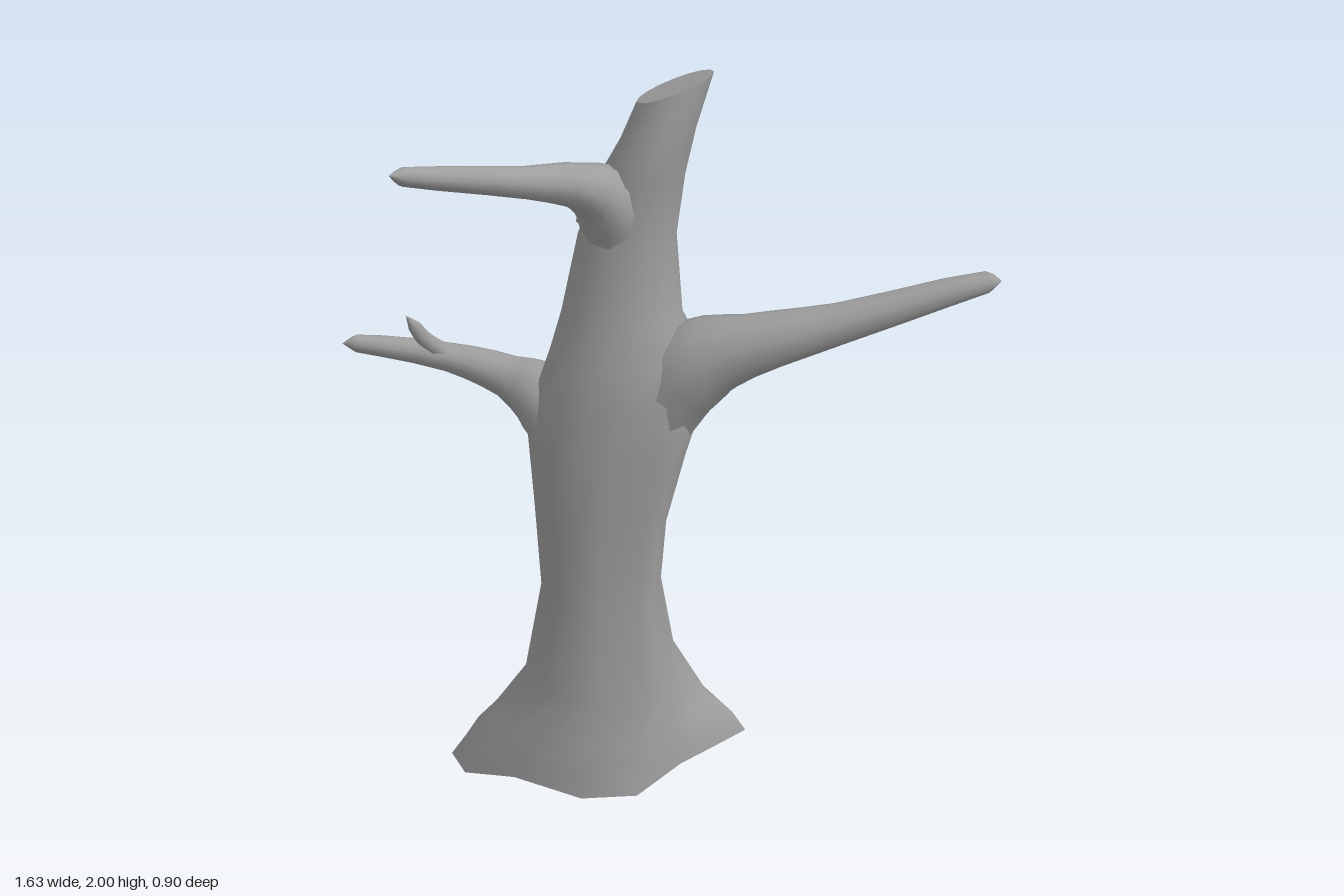
import * as THREE from 'three';

const material = new THREE.MeshStandardMaterial({ color: 0x9e9e9e, side: THREE.DoubleSide });

// Smooth skin through closed rings of equal point count
function loft(name, rings) {
  const n = rings[0].length, index = [];
  for (let i = 0; i < rings.length - 1; i++) {
    for (let j = 0; j < n; j++) {
      const k = (j + 1) % n, a = i * n, b = a + n;
      index.push(a + j, a + k, b + k, a + j, b + k, b + j);
    }
  }
  const geometry = new THREE.BufferGeometry().setFromPoints(rings.flat());
  geometry.setIndex(index);
  geometry.computeVertexNormals();
  const mesh = new THREE.Mesh(geometry, material);
  mesh.name = name;
  return mesh;
}

// Tapering limb; each stop is [x, y, z, radius]
function limb(name, stops, sides = 10, steps = 3) {
  const curve = new THREE.CatmullRomCurve3(stops.map(s => new THREE.Vector3(s[0], s[1], s[2])));
  const spans = stops.length - 1, rings = [];
  for (let i = 0; i <= spans * steps; i++) {
    const u = i / steps, k = Math.min(Math.floor(u), spans - 1);
    const r = THREE.MathUtils.lerp(stops[k][3], stops[k + 1][3], u - k);
    const p = curve.getPoint(u / spans), t = curve.getTangent(u / spans);
    const nrm = new THREE.Vector3(0, 0, 1).cross(t).normalize();
    const bin = t.clone().cross(nrm);
    rings.push(Array.from({ length: sides }, (_, j) => {
      const a = j / sides * Math.PI * 2;
      return p.clone().addScaledVector(nrm, r * Math.cos(a)).addScaledVector(bin, r * Math.sin(a));
    }));
  }
  return loft(name, rings);
}

// Trunk section between x0..x1 and z0..z1; a higher power squares off its +x half
function section(y, x0, x1, z0, z1, power = 2, slope = 0) {
  return Array.from({ length: 16 }, (_, j) => {
    const a = j / 16 * Math.PI * 2, c = Math.cos(a), s = Math.sin(a);
    const e = c > 0.01 ? 2 / power : 1;
    const dx = (x1 - x0) / 2 * Math.sign(c) * Math.abs(c) ** e;
    const dz = (z1 - z0) / 2 * Math.sign(s) * Math.abs(s) ** e;
    return new THREE.Vector3((x0 + x1) / 2 + dx, y + dx * slope, (z0 + z1) / 2 - dz);
  });
}

export function createModel() {
  const tree = new THREE.Group();
  tree.name = 'deadTree';

  // Ragged root outline, counter-clockwise from the left side (x, y, z)
  const roots = [
    [0.235, 0.095, -0.06], [0.2, 0.06, -0.1], [0.08, 0.11, -0.18], [0.035, 0.08, -0.42],
    [-0.03, 0.065, -0.45], [-0.12, 0.075, -0.42], [-0.27, 0.11, -0.3], [-0.45, 0.07, -0.22],
    [-0.565, 0, -0.165], [-0.6, 0.01, -0.07], [-0.555, 0.01, 0.02], [-0.41, 0.055, 0.1],
    [-0.22, 0.075, 0.22], [-0.07, 0.08, 0.215], [0.05, 0.115, 0.12], [0.16, 0.1, 0.01],
  ].map(p => new THREE.Vector3(...p));

  // Trunk with flared foot and slanted broken top
  const foot = section(0.34, -0.375, 0.04, -0.23, 0.165, 3.6);
  const toes = roots.map((p, j) => p.clone().lerp(foot[j], 0.2).add(new THREE.Vector3(0, 0.018, 0)));
  const flare = roots.map((p, j) => p.clone().lerp(foot[j], 0.52));
  const top = section(1.965, -0.06, 0.12, -0.09, 0.045, 2, 0.39);
  tree.add(loft('trunk', [
    roots, toes, flare, foot,
    section(0.6, -0.325, -0.005, -0.205, 0.135, 4.2),
    section(0.85, -0.335, 0.015, -0.203, 0.135, 4.2),
    section(1.05, -0.345, 0.068, -0.2, 0.14, 3.6),
    section(1.2, -0.315, 0.12, -0.19, 0.137, 2.6),
    section(1.3, -0.28, 0.1, -0.173, 0.125, 2.2),
    section(1.4, -0.25, 0.05, -0.153, 0.102),
    section(1.6, -0.205, 0.035, -0.143, 0.08),
    section(1.75, -0.15, 0.055, -0.143, 0.08),
    section(1.85, -0.1, 0.08, -0.137, 0.075, 2, 0.15),
    top,
  ]));

  // Flat cut face on the broken top
  const centre = new THREE.Vector3(0.03, 1.965, -0.0225);
  tree.add(loft('topCut', [top.map(p => p.clone()), top.map(() => centre)]));

  // Branches, each rising out of the trunk from deep inside it
  tree.add(limb('leftBranch', [
    [-0.14, 0.8, -0.03, 0.08], [-0.08, 1.0, -0.02, 0.11], [-0.005, 1.17, 0.005, 0.122], [0.09, 1.285, 0.035, 0.115],
    [0.21, 1.345, 0.07, 0.08], [0.43, 1.41, 0.085, 0.052], [0.78, 1.513, 0.075, 0.027], [0.815, 1.513, 0.07, 0],
  ]));
  tree.add(limb('rightBranch', [
    [-0.17, 0.85, -0.03, 0.1], [-0.215, 1.02, -0.04, 0.115], [-0.29, 1.13, -0.07, 0.1], [-0.4, 1.178, -0.115, 0.057],
    [-0.55, 1.225, -0.13, 0.038], [-0.78, 1.27, -0.115, 0.023], [-0.815, 1.272, -0.11, 0],
  ]));
  tree.add(limb('twig', [
    [-0.55, 1.235, -0.125, 0.025], [-0.605, 1.285, -0.11, 0.022], [-0.625, 1.325, -0.095, 0.018], [-0.645, 1.36, -0.085, 0],
  ], 6));
  tree.add(limb('upperBranch', [
    [-0.09, 1.4, -0.03, 0.08], [-0.1, 1.58, -0.02, 0.09], [-0.125, 1.69, 0.015, 0.092], [-0.19, 1.755, 0.08, 0.058],
    [-0.31, 1.805, 0.19, 0.038], [-0.555, 1.9, 0.425, 0.021], [-0.58, 1.912, 0.452, 0],
  ]));
  return tree;
}
